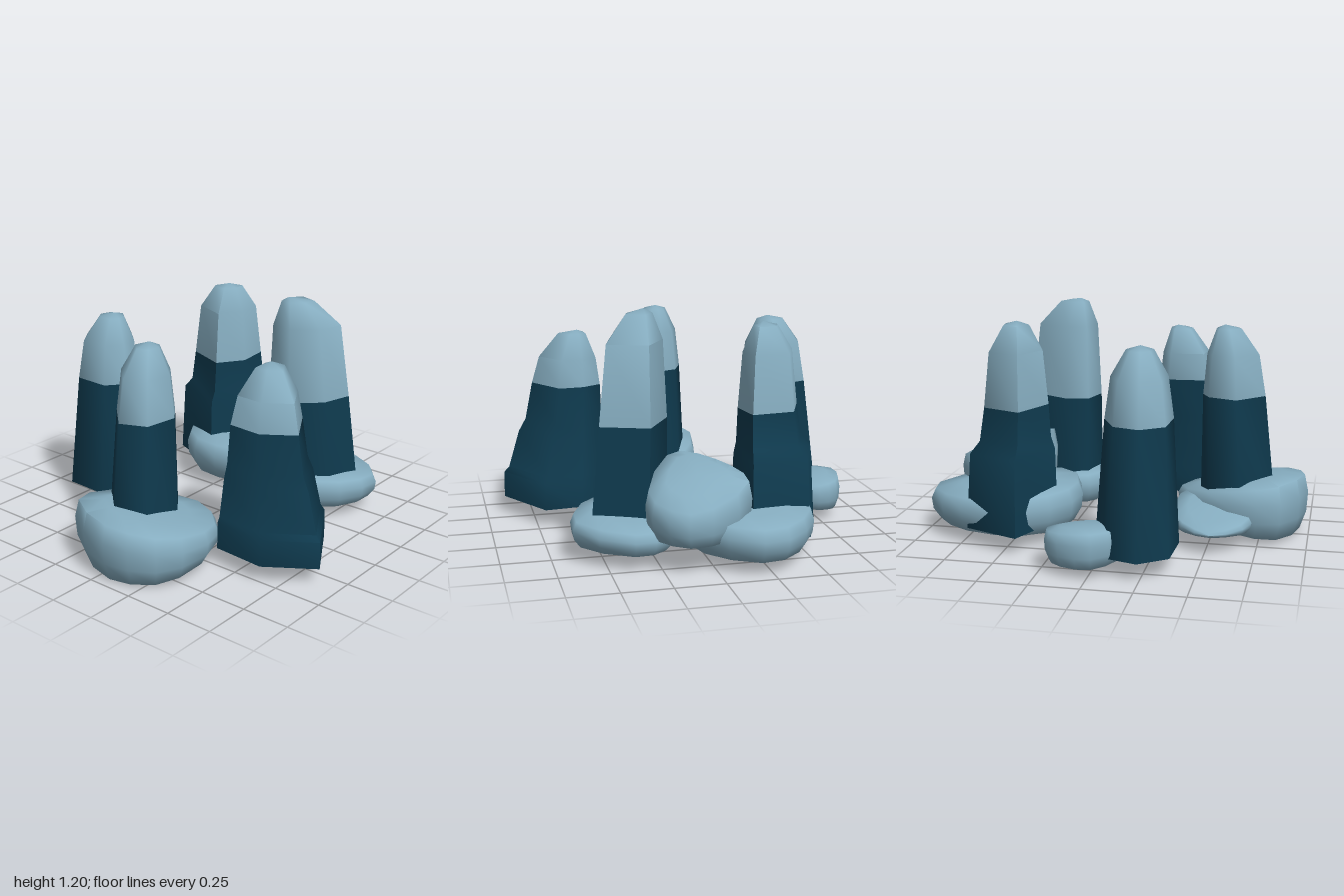
import * as THREE from 'three';
import { toCreasedNormals } from 'three/addons/utils/BufferGeometryUtils.js';

const lightStone = new THREE.MeshStandardMaterial({ color: 0x86adc0 });
const darkStone = new THREE.MeshStandardMaterial({ color: 0x0f3a4e });

const FLOOR = 0.11; // underside of every pillar
const mix = THREE.MathUtils.lerp;
const middle = (pts) => [0, 1].map((k) => pts.reduce((s, p) => s + p[k], 0) / pts.length);

// Scale an [x, z] outline about a point and lift it to the height y.
const ring = (outline, [cx, cz], s, y) => outline.map(([x, z]) => [mix(cx, x, s), y, mix(cz, z, s)]);

// Skin a stack of rings, bottom to top; a ring of one point closes an end.
function loft(rings) {
  const pos = [];
  const tri = (a, b, c) => pos.push(...a, ...b, ...c);
  for (let r = 0; r < rings.length - 1; r++) {
    const lo = rings[r], hi = rings[r + 1], n = Math.max(lo.length, hi.length);
    for (let i = 0; i < n; i++) {
      const j = (i + 1) % n;
      if (lo.length === 1) tri(lo[0], hi[i], hi[j]);
      else if (hi.length === 1) tri(lo[i], hi[0], lo[j]);
      else {
        tri(lo[i], hi[i], hi[j]);
        tri(lo[i], hi[j], lo[j]);
      }
    }
  }
  const g = new THREE.BufferGeometry();
  g.setAttribute('position', new THREE.Float32BufferAttribute(pos, 3));
  return toCreasedNormals(g, 1.3);
}

function part(name, geometry, material) {
  const m = new THREE.Mesh(geometry, material);
  m.name = name;
  return m;
}

// The dark base shrinks by `taper` towards `anchor` up to the joint, with optional
// ledges [y, share of the taper]; the light top rounds off below the peak.
function pillar(name, base, { anchor, taper, jointY, peak, topY, ledges = [] }) {
  const c = middle(base);
  const lower = [[FLOOR, 0], ...ledges, [jointY, 1]].map(([y, t]) => ring(base, anchor, mix(1, taper, t), y));
  const seam = lower[lower.length - 1];
  const joint = seam.map(([x, , z]) => [x, z]);
  const upper = [
    seam,
    ring(joint, peak, 0.83, topY - 0.15),
    ring(joint, peak, 0.4, topY - 0.02),
    [[peak[0], topY, peak[1]]],
  ];
  const g = new THREE.Group();
  g.name = name;
  g.add(
    part('pillarBase', loft([[[c[0], FLOOR, c[1]]], ...lower]), darkStone),
    part('pillarTop', loft(upper), lightStone),
  );
  return g;
}

// A rounded boulder between two tilted planes, each [height, x slope, z slope].
function rock(name, points, top, bottom) {
  const curve = new THREE.CatmullRomCurve3(points.map(([x, z]) => new THREE.Vector3(x, 0, z)), true);
  const outline = curve.getPoints(14).slice(0, -1).map((p) => [p.x, p.z]);
  const c = middle(outline);
  const plane = (p, x, z) => p[0] + p[1] * (x - c[0]) + p[2] * (z - c[1]);
  const sections = [[0.55, 0], [0.88, 0.07], [0.98, 0.35], [1, 0.65], [0.94, 0.92], [0.6, 1.01]];
  const rings = sections.map(([s, f]) => ring(outline, c, s, 0)
    .map(([x, , z]) => [x, mix(plane(bottom, x, z), plane(top, x, z), f), z]));
  return part(name, loft([[[c[0], bottom[0], c[1]]], ...rings, [[c[0], top[0] + 0.01, c[1]]]]), lightStone);
}

export function createModel() {
  const model = new THREE.Group();
  model.name = 'standingStones';

  // Five standing pillars
  model.add(
    pillar('leftPillar', [[0.36, 0.15], [0.51, 0.05], [0.71, 0.03], [0.9, 0.35], [0.66, 0.51], [0.38, 0.49]], {
      anchor: [0.43, 0.26], taper: 0.65, jointY: 0.75, peak: [0.5, 0.22], topY: 1.045,
      ledges: [[0.25, 0.02], [0.28, 0.18], [0.48, 0.53], [0.55, 0.76]],
    }),
    pillar('backLeftPillar', [[0.14, -0.36], [0.29, -0.62], [0.56, -0.52], [0.51, -0.33], [0.35, -0.185], [0.17, -0.23]], {
      anchor: [0.08, -0.18], taper: 0.88, jointY: 0.67, peak: [0.24, -0.28], topY: 1.215,
    }),
    pillar('backRightPillar', [[-0.63, -0.42], [-0.51, -0.71], [-0.2, -0.75], [-0.165, -0.49], [-0.3, -0.285]], {
      anchor: [-0.27, -0.43], taper: 0.7, jointY: 0.73, peak: [-0.32, -0.48], topY: 1.16,
      ledges: [[0.5, 0.25], [0.56, 0.75]],
    }),
    pillar('rightPillar', [[-0.82, 0.08], [-0.615, -0.015], [-0.45, 0.13], [-0.425, 0.275], [-0.52, 0.39], [-0.765, 0.38], [-0.87, 0.24]], {
      anchor: [-0.44, 0.21], taper: 0.81, jointY: 0.735, peak: [-0.56, 0.2], topY: 1.095,
    }),
    pillar('frontPillar', [[-0.13, 0.48], [-0.03, 0.43], [0.08, 0.435], [0.175, 0.55], [0.15, 0.76], [-0.02, 0.83], [-0.2, 0.66]], {
      anchor: [0.02, 0.45], taper: 0.81, jointY: 0.76, peak: [0, 0.54], topY: 1.125,
    }),
  );

  // Boulders around their feet
  model.add(
    rock('frontRock', [[0.11, 0.29], [0.39, 0.5], [0.36, 0.86], [0.08, 0.99], [-0.26, 0.83], [-0.2, 0.5]],
      [0.3, -0.09, 0.18], [0.045, 0, -0.14]),
    rock('frontSideRock', [[-0.45, 0.53], [-0.3, 0.33], [0, 0.34], [0, 0.6], [-0.29, 0.72]],
      [0.2, 0.25, 0], [0.085, -0.1, 0]),
    rock('rightRock', [[-0.9, 0.03], [-0.85, -0.19], [-0.7, -0.23], [-0.53, -0.03], [-0.68, 0.17]],
      [0.24, -0.12, 0.05], [0.07, 0.1, 0]),
    rock('backRightRock', [[-0.55, -0.4], [-0.49, -0.79], [-0.23, -1], [0.08, -0.78], [0.1, -0.3], [-0.3, -0.18]],
      [0.29, 0, 0.06], [0.07, 0, 0]),
    rock('backTiltedRock', [[-0.19, -0.76], [0.14, -0.93], [0.32, -0.72], [0.12, -0.38], [-0.09, -0.53]],
      [0.45, -0.15, 0.35], [0.15, 0, 0]),
    rock('backLeftRock', [[0.08, -0.2], [0.16, -0.66], [0.34, -0.79], [0.65, -0.56], [0.56, -0.27], [0.25, -0.13]],
      [0.245, 0, 0.09], [0.08, 0, 0]),
  );
  return model;
}
